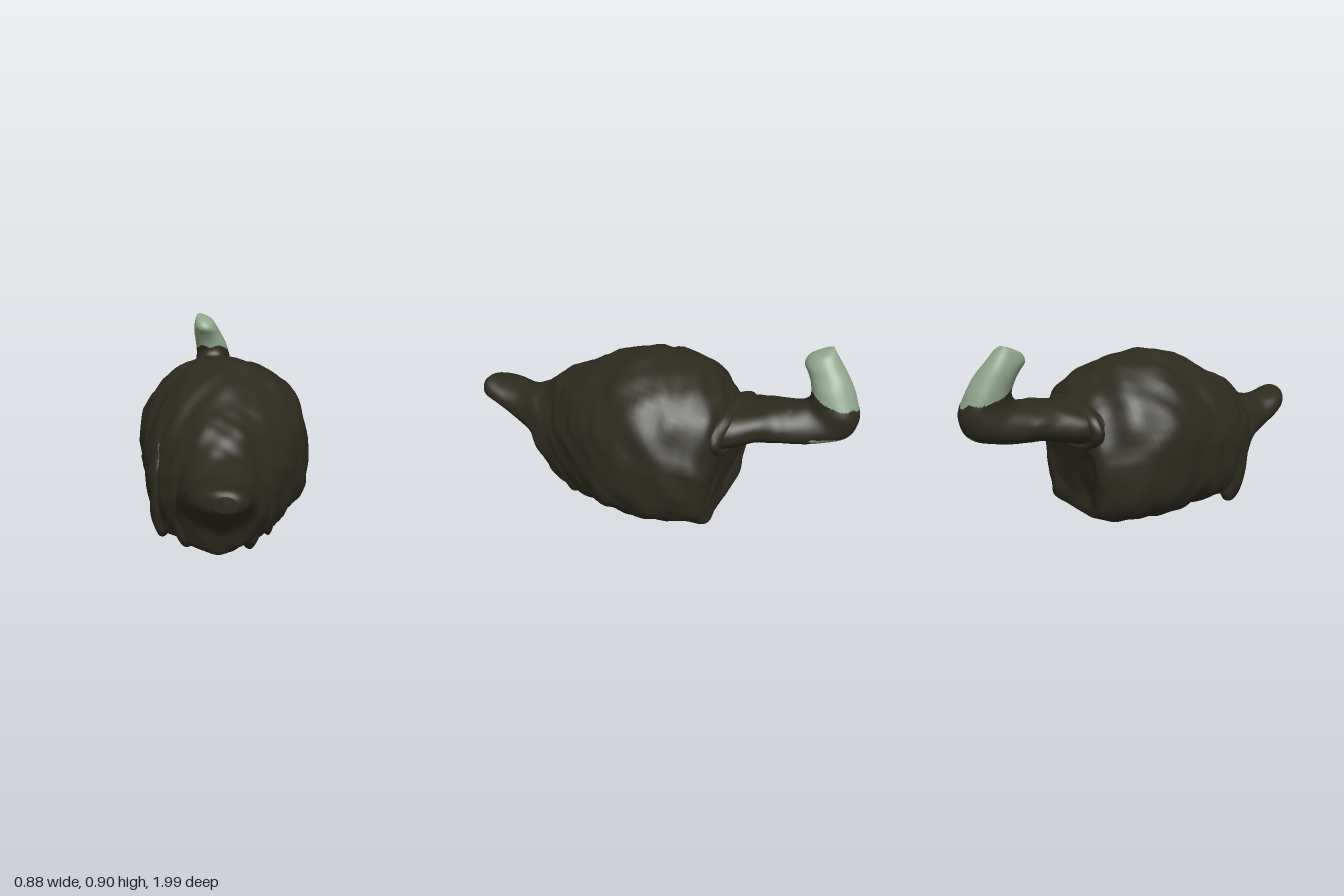
import * as THREE from 'three';

const RING = 72;

// Smooth interpolation of one section row
function rowAt(rows, t) {
  const i = Math.min(Math.floor(t), rows.length - 2), f = t - i;
  const at = k => rows[Math.max(0, Math.min(rows.length - 1, k))];
  const [a, b, c, d] = [at(i - 1), at(i), at(i + 1), at(i + 2)];
  return b.map((v, k) => v + 0.5 * f * (c[k] - a[k] + f * (2 * a[k] - 5 * v + 4 * c[k] - d[k]
    + f * (3 * (v - c[k]) + d[k] - a[k]))));
}

const spow = (v, n) => Math.sign(v) * Math.abs(v) ** (2 / n);

// Rocky surface: broad lumps plus finer dents
function rough(x, y, z) {
  return 0.6 * Math.sin(11 * x + 5 * z + 2 * Math.sin(7 * y)) * Math.sin(12 * z + 4 * y)
    + 0.4 * Math.sin(27 * z + 3 * Math.sin(9 * y) + 8 * x) * Math.sin(19 * y + 13 * x)
    + 0.3 * Math.sin(31 * x - 9 * y) * Math.sin(26 * z + 2 * Math.sin(9 * y))
    + 0.2 * Math.sin(43 * x + 31 * y) * Math.sin(47 * z - 21 * y);
}

function roughen(geo, amount) {
  geo.computeVertexNormals();
  const p = geo.attributes.position, n = geo.attributes.normal;
  for (let i = 0; i < p.count; i++) {
    const x = p.getX(i), y = p.getY(i), z = p.getZ(i);
    const d = amount(z) * rough(x, y, z);
    p.setXYZ(i, x + n.getX(i) * d, Math.max(0.003, y + n.getY(i) * d), z + n.getZ(i) * d);
  }
  geo.computeVertexNormals();
  return geo;
}

// Loft through rows of [zTop, yTop, zBottom, yBottom, xMin, xMax, topPower, bottomPower]
function loft(rows, steps) {
  const pos = [], idx = [], n = (rows.length - 1) * steps;
  const centres = [];
  for (let i = 0; i <= n; i++) {
    const [zt, yt, zb, yb, x0, x1, nt, nb] = rowAt(rows, i / steps);
    const cx = (x0 + x1) / 2, hw = (x1 - x0) / 2;
    const cy = yb + (yt - yb) * 0.45, cz = zb + (zt - zb) * 0.45;
    centres.push([cx, cy, cz]);
    for (let j = 0; j < RING; j++) {
      const a = j / RING * Math.PI * 2, s = Math.sin(a), pw = s >= 0 ? nt : nb;
      const v = Math.abs(spow(s, pw));
      const ty = s >= 0 ? yt : yb, tz = s >= 0 ? zt : zb;
      pos.push(cx + hw * spow(Math.cos(a), pw), cy + (ty - cy) * v, cz + (tz - cz) * v);
    }
  }
  for (let i = 0; i < n; i++) for (let j = 0; j < RING; j++) {
    const a = i * RING + j, b = i * RING + (j + 1) % RING;
    idx.push(a, b, b + RING, a, b + RING, a + RING);
  }
  const first = pos.length / 3;
  pos.push(...centres[0], ...centres[n]);
  for (let j = 0; j < RING; j++) {
    const k = (j + 1) % RING;
    idx.push(first, k, j, first + 1, n * RING + j, n * RING + k);
  }
  const geo = new THREE.BufferGeometry();
  geo.setAttribute('position', new THREE.Float32BufferAttribute(pos, 3));
  geo.setIndex(idx);
  return geo;
}

// Sort triangles into two material groups
function splitFaces(geo, isSecond) {
  const p = geo.attributes.position, ix = geo.index.array, sets = [[], []];
  for (let i = 0; i < ix.length; i += 3) {
    const t = [ix[i], ix[i + 1], ix[i + 2]];
    const mean = g => (g(t[0]) + g(t[1]) + g(t[2])) / 3;
    const c = [mean(k => p.getX(k)), mean(k => p.getY(k)), mean(k => p.getZ(k))];
    sets[isSecond(...c) ? 1 : 0].push(...t);
  }
  geo.setIndex([...sets[0], ...sets[1]]);
  geo.addGroup(0, sets[0].length, 0);
  geo.addGroup(sets[0].length, sets[1].length, 1);
}

export function createModel() {
  const group = new THREE.Group();
  const stone = new THREE.MeshStandardMaterial({ color: 0x2d2b1f });
  stone.name = 'dark stone';
  const pale = new THREE.MeshStandardMaterial({ color: 0x8ea58b });
  pale.name = 'pale green';
  const add = (name, geo, mat) => {
    const mesh = new THREE.Mesh(geo, mat);
    mesh.name = name;
    group.add(mesh);
  };

  // Boulder body running forward into the snout
  const body = [
    [-0.445, 0.56, -0.385, 0.13, -0.21, 0.20, 2.3, 2.6],
    [-0.425, 0.61, -0.395, 0.06, -0.28, 0.27, 2.2, 3],
    [-0.36, 0.69, -0.37, 0.02, -0.33, 0.34, 2.1, 3.2],
    [-0.22, 0.775, -0.22, 0.015, -0.43, 0.40, 2, 3.3],
    [0, 0.81, 0, 0.008, -0.425, 0.44, 2, 3.4],
    [0.2, 0.765, 0.2, 0.015, -0.37, 0.39, 2, 3.4],
    [0.4, 0.67, 0.4, 0.02, -0.32, 0.30, 2, 3.2],
    [0.5, 0.615, 0.49, 0.025, -0.24, 0.255, 2, 2.6],
    [0.59, 0.555, 0.585, 0.035, -0.17, 0.22, 2.1, 1.7],
    [0.66, 0.515, 0.635, 0.17, -0.14, 0.20, 2.2, 1.6],
    [0.76, 0.49, 0.75, 0.27, -0.10, 0.18, 2.2, 1.8],
    [0.88, 0.505, 0.88, 0.36, -0.08, 0.175, 2.2, 2],
    [0.96, 0.52, 0.96, 0.40, -0.03, 0.165, 2.2, 2.2],
    [0.995, 0.50, 0.995, 0.43, 0.035, 0.13, 2, 2],
  ];
  add('body', roughen(loft(body, 8), z => THREE.MathUtils.lerp(0.017, 0.004,
    THREE.MathUtils.smoothstep(z, 0.5, 0.75))), stone);

  // Upright ridges beside the undercut below the snout
  for (const [x, y, z, w, h, d] of [
    [-0.13, 0.27, 0.49, 0.08, 0.25, 0.10],
    [0.16, 0.23, 0.48, 0.06, 0.21, 0.10],
    [-0.265, 0.27, 0.37, 0.06, 0.25, 0.10],
    [0.245, 0.28, 0.36, 0.05, 0.24, 0.10],
  ]) {
    const geo = new THREE.SphereGeometry(1, 36, 28).scale(w, h, d).translate(x, y, z);
    add('frontRidge', roughen(geo, () => 0.015), stone);
  }

  // Low collar where the tail leaves the body
  const collar = new THREE.TorusGeometry(0.22, 0.035, 16, 64)
    .scale(1.1, 0.5, 1).rotateX(-0.12).translate(-0.03, 0.495, -0.415);
  add('tailCollar', roughen(collar, () => 0.012), stone);

  // Tail, tip first: curves down and forward into the back of the body
  const tail = [
    [-0.775, 0.892, -0.83, 0.908, -0.215, -0.175, 2, 2],
    [-0.73, 0.868, -0.85, 0.885, -0.224, -0.125, 2, 2],
    [-0.712, 0.83, -0.88, 0.84, -0.23, -0.095, 2.2, 2.2],
    [-0.735, 0.79, -0.93, 0.77, -0.23, -0.07, 2.2, 2.2],
    [-0.755, 0.75, -0.97, 0.69, -0.228, -0.045, 2.2, 2.2],
    [-0.765, 0.70, -0.998, 0.60, -0.225, -0.025, 2.2, 2.2],
    [-0.75, 0.665, -0.95, 0.505, -0.23, -0.01, 2.2, 2.2],
    [-0.70, 0.64, -0.80, 0.465, -0.24, 0.04, 2.2, 2.4],
    [-0.60, 0.63, -0.62, 0.455, -0.25, 0.10, 2.2, 2.4],
    [-0.45, 0.61, -0.45, 0.415, -0.27, 0.18, 2.2, 2.4],
    [-0.30, 0.62, -0.30, 0.38, -0.27, 0.20, 2.2, 2.4],
  ];
  const tailGeo = roughen(loft(tail, 10), z => z < -0.7 ? 0.003 : 0.009);
  // Pale tip and a small pale patch beneath the bend
  splitFaces(tailGeo, (x, y, z) =>
    y > 0.705 + 0.28 * (z + 0.8) + 0.008 * Math.sin(60 * x)
    || (y < 0.517 && z < -0.81 && x > -0.15));
  add('tail', tailGeo, [stone, pale]);

  return group;
}
